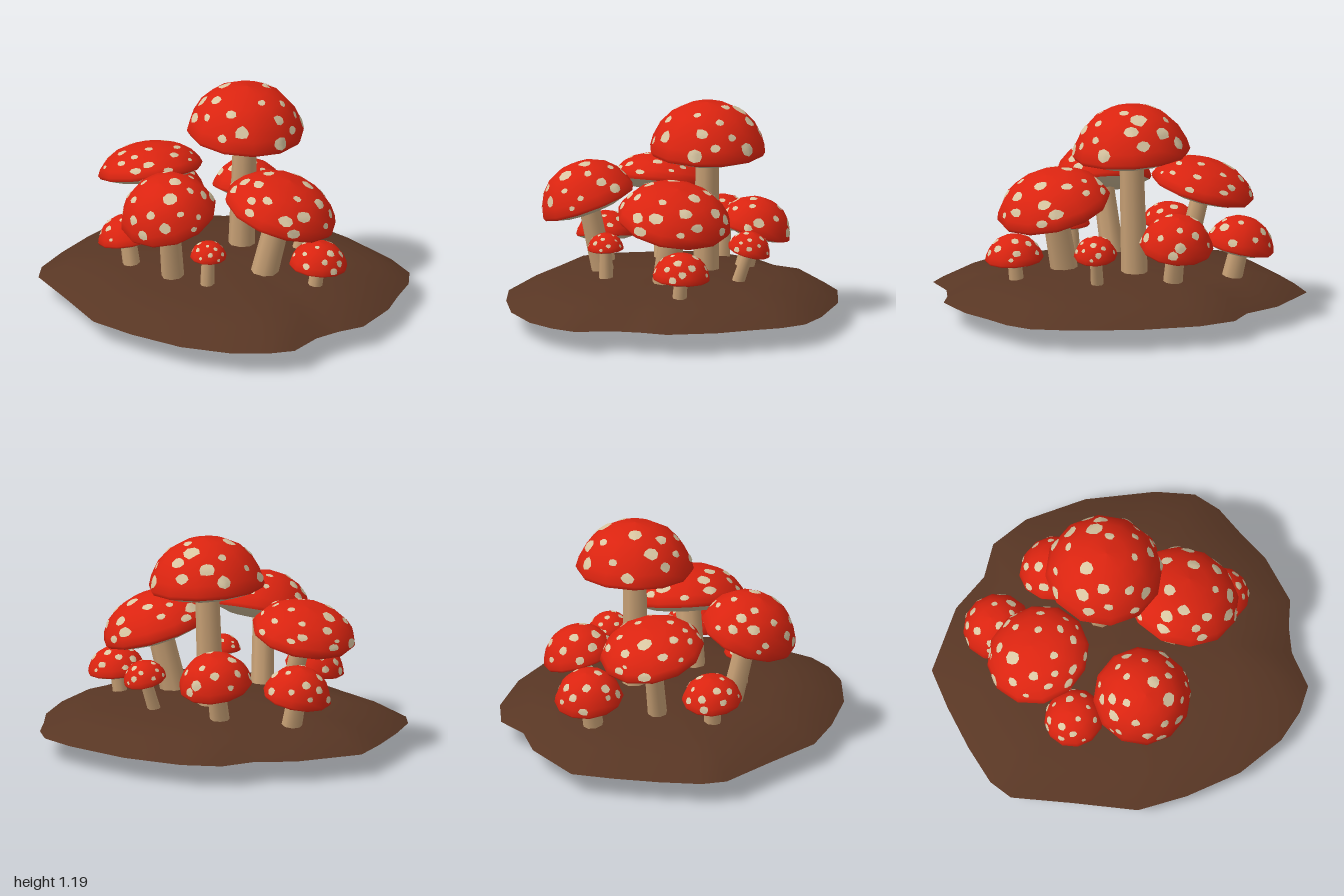
import * as THREE from 'three';
import { mergeGeometries } from 'three/addons/utils/BufferGeometryUtils.js';

const mat = (name, color, side = THREE.FrontSide) => {
  const m = new THREE.MeshStandardMaterial({ color, side });
  m.name = name;
  return m;
};
const red = mat('cap red', 0xdb2410);
const cream = mat('spot cream', 0xd9c6a2);
const gill = mat('gill beige', 0xc9b694);
const tan = mat('stem tan', 0xc69f74);
const soil = mat('soil brown', 0x583624, THREE.DoubleSide);

let seed = 7;
const rand = () => (seed = (seed * 16807) % 2147483647) / 2147483647;

function add(parent, name, geometry, material) {
  const mesh = new THREE.Mesh(geometry, material);
  mesh.name = name;
  parent.add(mesh);
  return mesh;
}

// Uneven soil mound: one outline shrunk ring by ring towards the raised middle
function moundGeometry() {
  const outline = [
    [-.07, -.9], [.31, -.9], [.52, -.86], [.64, -.76], [.74, -.61], [.855, -.455], [.96, -.2], [.935, -.05],
    [.935, .1], [1, .3], [.94, .44], [.82, .59], [.58, .75], [.28, .85], [.01, .9], [-.33, .82], [-.66, .75],
    [-.76, .65], [-.855, .44], [-.94, .2], [-1, -.02], [-.83, -.36], [-.66, -.52], [-.59, -.7], [-.4, -.82],
  ];
  const rings = [[1, .115], [.83, .205], [.62, .24], [.35, .268], [0, .284]];
  const n = outline.length, pos = [], index = [];
  for (const [s, y] of rings) for (const [x, z] of outline) pos.push(x * s, y, z * s);
  for (let r = 0; r < rings.length - 1; r++) {
    for (let i = 0; i < n; i++) {
      const a = r * n + i, b = r * n + (i + 1) % n;
      index.push(a, a + n, b);
      if (r < rings.length - 2) index.push(b, a + n, b + n);
    }
  }
  const g = new THREE.BufferGeometry();
  g.setAttribute('position', new THREE.Float32BufferAttribute(pos, 3));
  g.setIndex(index);
  g.computeVertexNormals();
  return g;
}

const lathe = (points, sides = 12) =>
  new THREE.LatheGeometry(points.map(([x, y]) => new THREE.Vector2(x, y)), sides);

// Dome of unit radius and height h, and the shallow bulge that closes it below
const domeGeometry = (h) => lathe([[.96, -.07], [1, 0], [.95, .22 * h], [.82, .52 * h],
  [.62, .77 * h], [.34, .94 * h], [0, h]]);
const undersideGeometry = () => lathe([[0, -.2], [.65, -.17], [.96, -.07]]);

// Irregular spots laid on the dome surface by casting rays at it
function spotsGeometry(dome, h, count, minSize, maxSize) {
  const caster = new THREE.Raycaster(), target = new THREE.Mesh(dome, red);
  const onDome = (p) => {
    const dir = new THREE.Vector3(p.x, Math.max(p.y, .01) * h, p.z).normalize();
    caster.set(dir.clone().multiplyScalar(3), dir.clone().negate());
    const hit = caster.intersectObject(target)[0];
    return (hit ? hit.point : dir).addScaledVector(dir, .014);
  };
  const parts = [], sides = 8;
  for (let k = 0; k < count; k++) {
    const y = .12 + .84 * (k + .5) / count, a = k * 2.4 + rand() * .5, c = Math.sqrt(1 - y * y);
    const d = new THREE.Vector3(c * Math.cos(a), y, c * Math.sin(a));
    const u = new THREE.Vector3(-Math.sin(a), 0, Math.cos(a)), v = d.clone().cross(u);
    const size = minSize + (maxSize - minSize) * rand();
    const wobble = Array.from({ length: sides }, () => size * (.85 + .3 * rand()));
    const pos = [...onDome(d).toArray()], index = [];
    for (const t of [.5, 1]) {
      for (let i = 0; i < sides; i++) {
        const q = i / sides * Math.PI * 2;
        pos.push(...onDome(d.clone().addScaledVector(u, Math.cos(q) * wobble[i] * t)
          .addScaledVector(v, Math.sin(q) * wobble[i] * t)).toArray());
      }
    }
    for (let i = 0; i < sides; i++) {
      const p = 1 + i, q = 1 + (i + 1) % sides;
      index.push(0, p, q, p, p + sides, q, q, p + sides, q + sides);
    }
    const g = new THREE.BufferGeometry();
    g.setAttribute('position', new THREE.Float32BufferAttribute(pos, 3));
    g.setIndex(index);
    g.computeVertexNormals();
    parts.push(g);
  }
  return mergeGeometries(parts);
}

function mushroom({ name, base, top, axis, r, h, stem }) {
  const group = new THREE.Group();
  group.name = name;
  const up = new THREE.Vector3(0, 1, 0);
  const from = new THREE.Vector3(...base), to = new THREE.Vector3(...top);
  // Straight stem from below the soil into the cap
  const span = to.clone().sub(from);
  const stalk = add(group, 'stem', new THREE.CylinderGeometry(stem * .88, stem, span.length(), 8), tan);
  stalk.position.copy(from).add(to).multiplyScalar(.5);
  stalk.quaternion.setFromUnitVectors(up, span.normalize());
  // Tilted cap
  const cap = new THREE.Group();
  cap.name = 'cap';
  cap.position.copy(to);
  cap.quaternion.setFromUnitVectors(up, new THREE.Vector3(...axis).normalize());
  cap.scale.setScalar(r);
  const dome = domeGeometry(h), big = r > .22;
  add(cap, 'dome', dome, red);
  add(cap, 'underside', undersideGeometry(), gill);
  add(cap, 'spots', spotsGeometry(dome, h, big ? 24 : 17, big ? .06 : .08, big ? .15 : .17), cream);
  group.add(cap);
  return group;
}

export function createModel() {
  const model = new THREE.Group();
  model.name = 'mushroomPatch';
  add(model, 'soilMound', moundGeometry(), soil);
  const list = [
    { name: 'tallMushroom', base: [-.07, .14, -.17], top: [-.05, .935, -.185], axis: [.06, 1, -.02], r: .318, h: .81, stem: .073 },
    { name: 'frontMushroom', base: [0, .012, .33], top: [.085, .645, .445], axis: [.06, 1, .36], r: .265, h: .82, stem: .065 },
    { name: 'rightLargeMushroom', base: [.27, .045, 0], top: [.365, .62, -.1], axis: [.24, 1, -.2], r: .312, h: .6, stem: .077 },
    { name: 'leftLargeMushroom', base: [-.3, .075, .12], top: [-.445, .665, .155], axis: [-.27, 1, -.05], r: .285, h: .52, stem: .055 },
    { name: 'leftSmallMushroom', base: [-.575, .15, -.12], top: [-.635, .4, -.125], axis: [-.22, 1, 0], r: .187, h: .87, stem: .058 },
    { name: 'backLeftMushroom', base: [-.26, .15, -.31], top: [-.285, .46, -.39], axis: [-.08, 1, -.3], r: .2, h: .85, stem: .055 },
    { name: 'frontLeftMushroom', base: [-.25, .15, .42], top: [-.283, .39, .435], axis: [-.18, 1, .06], r: .163, h: .78, stem: .05 },
    { name: 'backSmallMushroom', base: [.135, .17, -.37], top: [.152, .43, -.462], axis: [.05, 1, -.28], r: .118, h: .85, stem: .036 },
    { name: 'rightSmallMushroom', base: [.555, .105, -.165], top: [.58, .355, -.19], axis: [.06, 1, -.06], r: .158, h: .83, stem: .042 },
    { name: 'tinyMushroom', base: [.24, .17, .305], top: [.255, .425, .306], axis: [.06, 1, .03], r: .099, h: .83, stem: .04 },
  ];
  for (const m of list) model.add(mushroom(m));
  return model;
}
